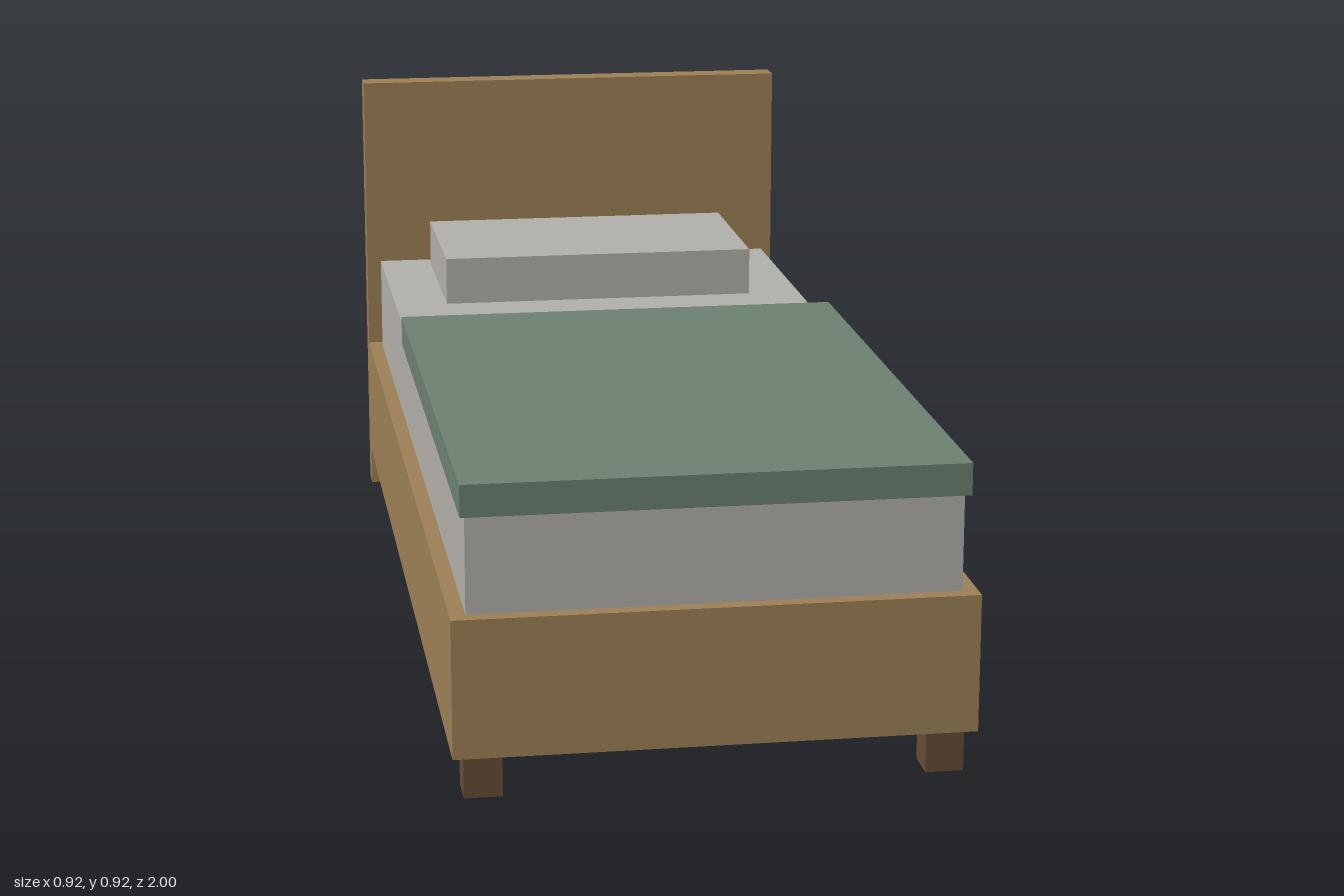
import * as THREE from 'three';

const material = (name, color) => {
  const m = new THREE.MeshStandardMaterial({ color });
  m.name = name;
  return m;
};

export function createModel() {
  const wood = material('oak wood', 0x9b7e55);
  const darkWood = material('dark wood', 0x644b35);
  const linen = material('grey linen', 0xb1aea9);
  const green = material('green fabric', 0x6b8070);

  const bed = new THREE.Group();
  bed.name = 'bed';

  // Box from its extents along each axis
  const block = (name, mat, [x0, x1], [y0, y1], [z0, z1]) => {
    const mesh = new THREE.Mesh(new THREE.BoxGeometry(x1 - x0, y1 - y0, z1 - z0), mat);
    mesh.position.set((x0 + x1) / 2, (y0 + y1) / 2, (z0 + z1) / 2);
    mesh.name = name;
    bed.add(mesh);
  };

  // Frame
  block('base', wood, [-0.461, 0.461], [0.079, 0.33], [-0.945, 1]);
  block('headboard', wood, [-0.461, 0.461], [0, 0.922], [-1, -0.945]);

  // Bedding
  block('mattress', linen, [-0.433, 0.433], [0.33, 0.525], [-0.913, 0.973]);
  block('pillow', linen, [-0.325, 0.325], [0.525, 0.622], [-0.865, -0.48]);
  block('blanket', green, [-0.442, 0.442], [0.507, 0.565], [-0.213, 0.988]);

  // Feet, mirrored left and right
  for (const side of [-1, 1]) {
    const x = side * 0.407;
    const sideName = side > 0 ? 'Left' : 'Right';
    for (const [end, z] of [['front', 0.947], ['back', -0.887]]) {
      block(`${end}${sideName}Foot`, darkWood, [x - 0.034, x + 0.034], [0, 0.079], [z - 0.034, z + 0.034]);
    }
  }

  return bed;
}
